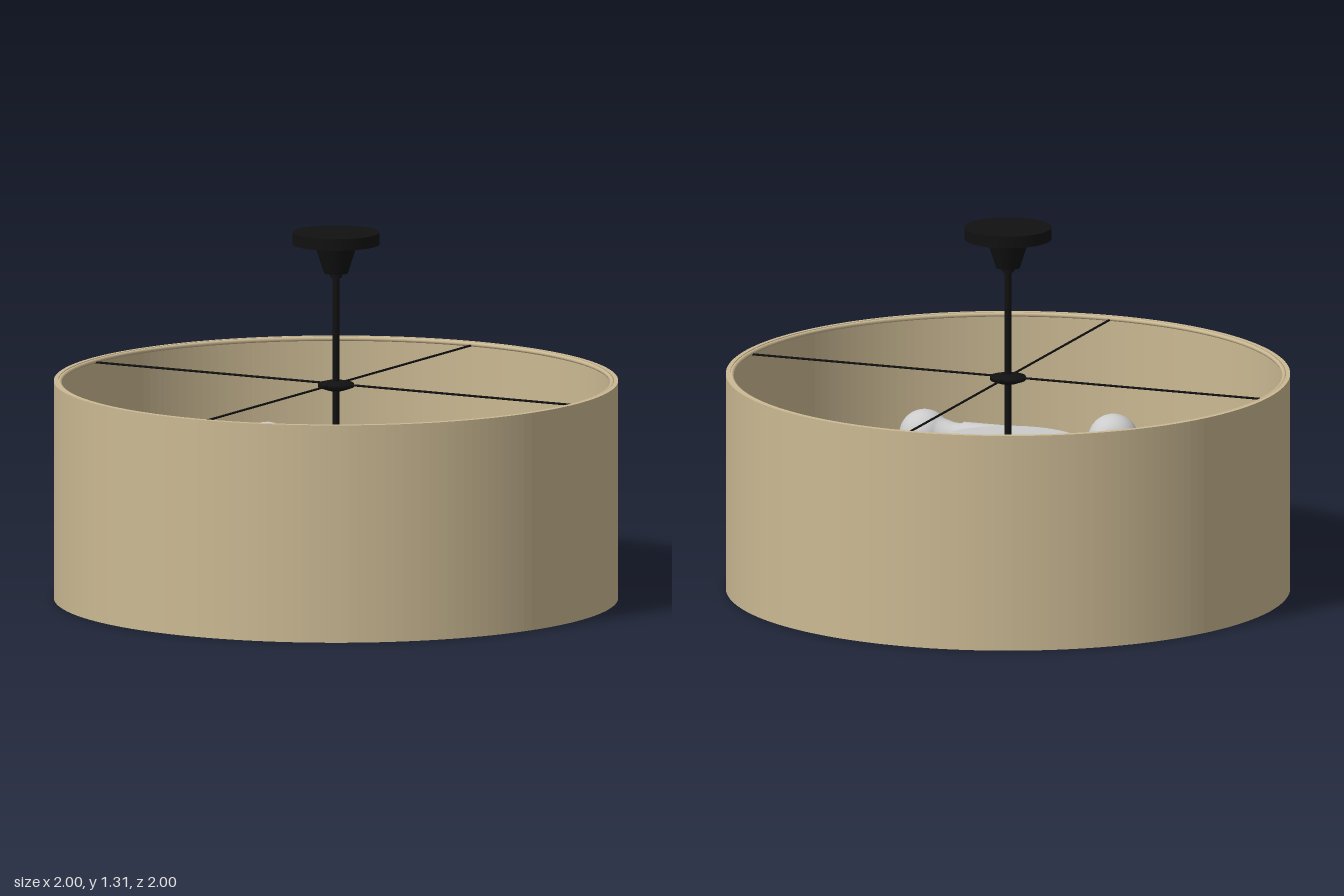
import * as THREE from 'three';

const tan = new THREE.MeshStandardMaterial({ color: 0xcbb993 });
const black = new THREE.MeshStandardMaterial({ color: 0x111111 });
const grey = new THREE.MeshStandardMaterial({ color: 0xcccccc });

function add(parent, name, geometry, material, x = 0, y = 0, z = 0) {
  const mesh = new THREE.Mesh(geometry, material);
  mesh.name = name;
  mesh.position.set(x, y, z);
  parent.add(mesh);
  return mesh;
}

const disc = (top, bottom, height, sides = 48) => new THREE.CylinderGeometry(top, bottom, height, sides);

// Flat-ended tube wall standing on y = 0
function ringWall(outer, inner, height) {
  const shape = new THREE.Shape().absarc(0, 0, outer, 0, Math.PI * 2);
  shape.holes.push(new THREE.Path().absarc(0, 0, inner, 0, Math.PI * 2, true));
  return new THREE.ExtrudeGeometry(shape, { depth: height, bevelEnabled: false, curveSegments: 96 })
    .rotateX(-Math.PI / 2);
}

function lathe(points, segments = 48) {
  return new THREE.LatheGeometry(points.map(([r, y]) => new THREE.Vector2(r, y)), segments);
}

const flatRing = (radius, tube) => new THREE.TorusGeometry(radius, tube, 8, 96).rotateX(Math.PI / 2);

// Profile of a thick disc with a half-round edge
function bodyProfile(radius, tube) {
  const points = [[0, -tube]];
  for (let i = 0; i <= 16; i++) {
    const a = -Math.PI / 2 + (Math.PI * i) / 16;
    points.push([radius + tube * Math.cos(a), tube * Math.sin(a)]);
  }
  points.push([0, tube]);
  return points;
}

// Bulb profile: narrow neck flowing into a globe, pointing along +y
function bulbProfile() {
  const points = [[0.05, 0], [0.05, 0.025], [0.052, 0.045], [0.058, 0.065]];
  for (let i = 0; i <= 16; i++) {
    const a = -0.8 + ((Math.PI / 2 + 0.8) * i) / 16;
    points.push([Math.max(0, 0.09 * Math.cos(a)), 0.15 + 0.09 * Math.sin(a)]);
  }
  return points;
}

export function createModel() {
  const model = new THREE.Group();
  model.name = 'drumPendantLamp';

  // Drum shade with rolled rims
  const shade = new THREE.Group();
  shade.name = 'shade';
  model.add(shade);
  add(shade, 'shadeWall', ringWall(1, 0.985, 0.78), tan);
  for (const [name, y] of [['topRim', 0.772], ['bottomRim', 0.008]]) {
    add(shade, name, flatRing(0.979, 0.008), tan, 0, y);
  }

  // Ceiling canopy and hanging rod
  const mount = new THREE.Group();
  mount.name = 'ceilingMount';
  model.add(mount);
  add(mount, 'canopyPlate', disc(0.155, 0.155, 0.042), black, 0, 1.291);
  add(mount, 'canopyCone', disc(0.076, 0.042, 0.105), black, 0, 1.2175);
  add(mount, 'rodCollar', disc(0.022, 0.022, 0.016, 24), black, 0, 1.158);
  add(mount, 'rod', disc(0.013, 0.013, 0.68, 24), black, 0, 0.84);

  // Spider: hub and four wires holding the shade
  const spider = new THREE.Group();
  spider.name = 'spider';
  model.add(spider);
  add(spider, 'hub', lathe([[0, -0.02], [0.03, -0.02], [0.063, -0.008], [0.063, 0.006], [0.03, 0.014], [0, 0.014]]),
    black, 0, 0.765);
  for (let i = 0; i < 4; i++) {
    const arm = new THREE.Group();
    arm.name = 'spiderArm';
    arm.rotation.y = (i * Math.PI) / 2;
    spider.add(arm);
    add(arm, 'wire', disc(0.004, 0.004, 0.98, 8).rotateZ(Math.PI / 2), black, 0.49, 0.768);
  }

  // Lamp holder: rounded disc with four tangent arms and bulbs
  const holder = new THREE.Group();
  holder.name = 'lampHolder';
  holder.position.y = 0.475;
  model.add(holder);
  add(holder, 'holderBody', lathe(bodyProfile(0.25, 0.057), 64), grey);
  for (let i = 0; i < 4; i++) {
    const arm = new THREE.Group();
    arm.name = 'lampArm';
    arm.rotation.y = (i * Math.PI) / 2;
    holder.add(arm);
    add(arm, 'socket', disc(0.056, 0.056, 0.265, 32).rotateZ(-Math.PI / 2), grey, 0.1325, 0, 0.238);
    add(arm, 'bulb', lathe(bulbProfile(), 32).rotateZ(-Math.PI / 2), grey, 0.262, 0, 0.238);
  }

  // Diffuser panel with its frame and four clips
  const diffuser = new THREE.Group();
  diffuser.name = 'diffuser';
  model.add(diffuser);
  add(diffuser, 'diffuserPanel', disc(0.948, 0.948, 0.008, 96), grey, 0, 0.016);
  add(diffuser, 'diffuserFrame', flatRing(0.951, 0.007), black, 0, 0.016);
  for (let i = 0; i < 4; i++) {
    const a = (i * Math.PI) / 2;
    const clip = add(diffuser, 'clip', new THREE.BoxGeometry(0.028, 0.014, 0.016), black,
      0.967 * Math.cos(a), 0.018, 0.967 * Math.sin(a));
    clip.rotation.y = -a;
  }
  return model;
}
